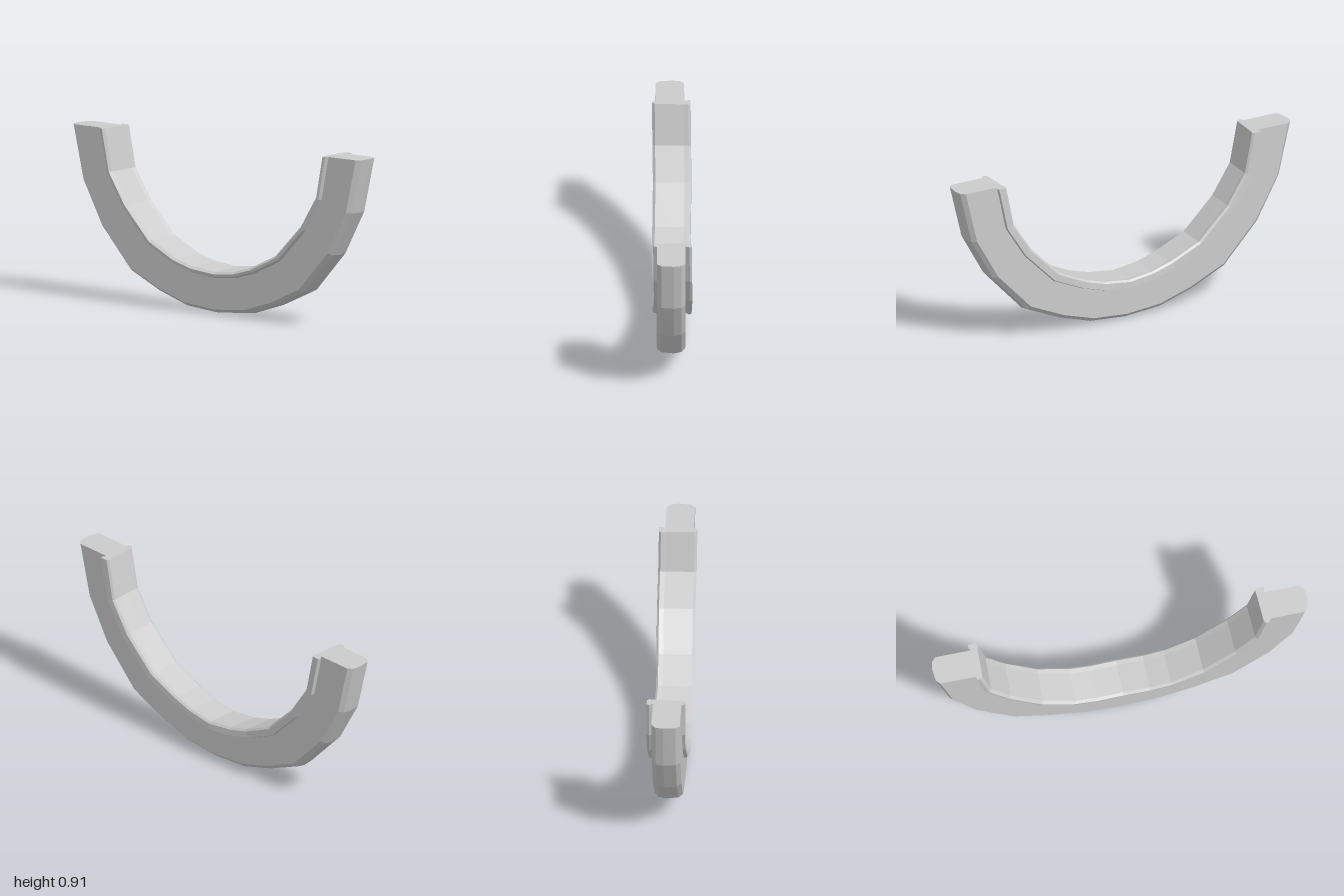
import * as THREE from 'three';

// Stations along the left half, from the open end to the middle:
// outer x, outer y, inner x, inner y, sideways sway of the lip
const HALF = [
  [1.0, 0.91, 0.74, 0.91, 0],
  [0.93, 0.62, 0.695, 0.69, -0.002],
  [0.8, 0.385, 0.59, 0.53, -0.004],
  [0.6, 0.17, 0.42, 0.36, 0],
  [0.4, 0.08, 0.25, 0.28, 0.005],
  [0.21, 0.02, 0.14, 0.25, 0],
  [0, 0.003, 0, 0.235, -0.007],
];

// Cross-section: fraction from outer to inner edge, z
const PROFILE = [
  [0, -0.008], [0.025, 0.057], [0.1, 0.08], [0.82, 0.08],
  [0.85, 0.098], [0.91, 0.1], [0.96, 0.086], [0.975, 0],
  [0.985, -0.065], [1, -0.09], [0.96, -0.1], [0.82, -0.102],
  [0.8, -0.09], [0.84, -0.069], [0.12, -0.069], [0.03, -0.048],
];

export function createModel() {
  // Mirror the half into a full arch
  const mirrored = HALF.slice(0, -1).reverse()
    .map(([ox, oy, ix, iy, s]) => [-ox, oy, -ix, iy, s]);
  const stations = [...HALF, ...mirrored];
  const n = PROFILE.length;
  const positions = [];
  const index = [];

  for (const [ox, oy, ix, iy, sway] of stations) {
    for (const [t, z] of PROFILE) {
      const lip = Math.abs(z) > 0.082 || t > 0.9;
      positions.push(ox + (ix - ox) * t, oy + (iy - oy) * t, z + (lip ? sway : 0));
    }
  }

  // Swept sides
  for (let i = 0; i < stations.length - 1; i++) {
    for (let j = 0; j < n; j++) {
      const a = i * n + j;
      const b = i * n + (j + 1) % n;
      index.push(a, b, a + n, b, b + n, a + n);
    }
  }

  // Flat cut ends
  const outline = PROFILE.map(([t, z]) => new THREE.Vector2(z, t * 0.25));
  const last = (stations.length - 1) * n;
  for (const tri of THREE.ShapeUtils.triangulateShape(outline, [])) {
    const [a, b, c] = THREE.ShapeUtils.isClockWise(tri.map((k) => outline[k]))
      ? [tri[0], tri[2], tri[1]] : tri;
    index.push(last + a, last + b, last + c, a, c, b);
  }

  const geometry = new THREE.BufferGeometry();
  geometry.setAttribute('position', new THREE.Float32BufferAttribute(positions, 3));
  geometry.setIndex(index);
  geometry.computeVertexNormals();

  const arch = new THREE.Mesh(
    geometry,
    new THREE.MeshStandardMaterial({ color: 0xcccccc, flatShading: true }),
  );
  arch.name = 'lippedArch';

  const group = new THREE.Group();
  group.name = 'curvedRim';
  group.add(arch);
  return group;
}
